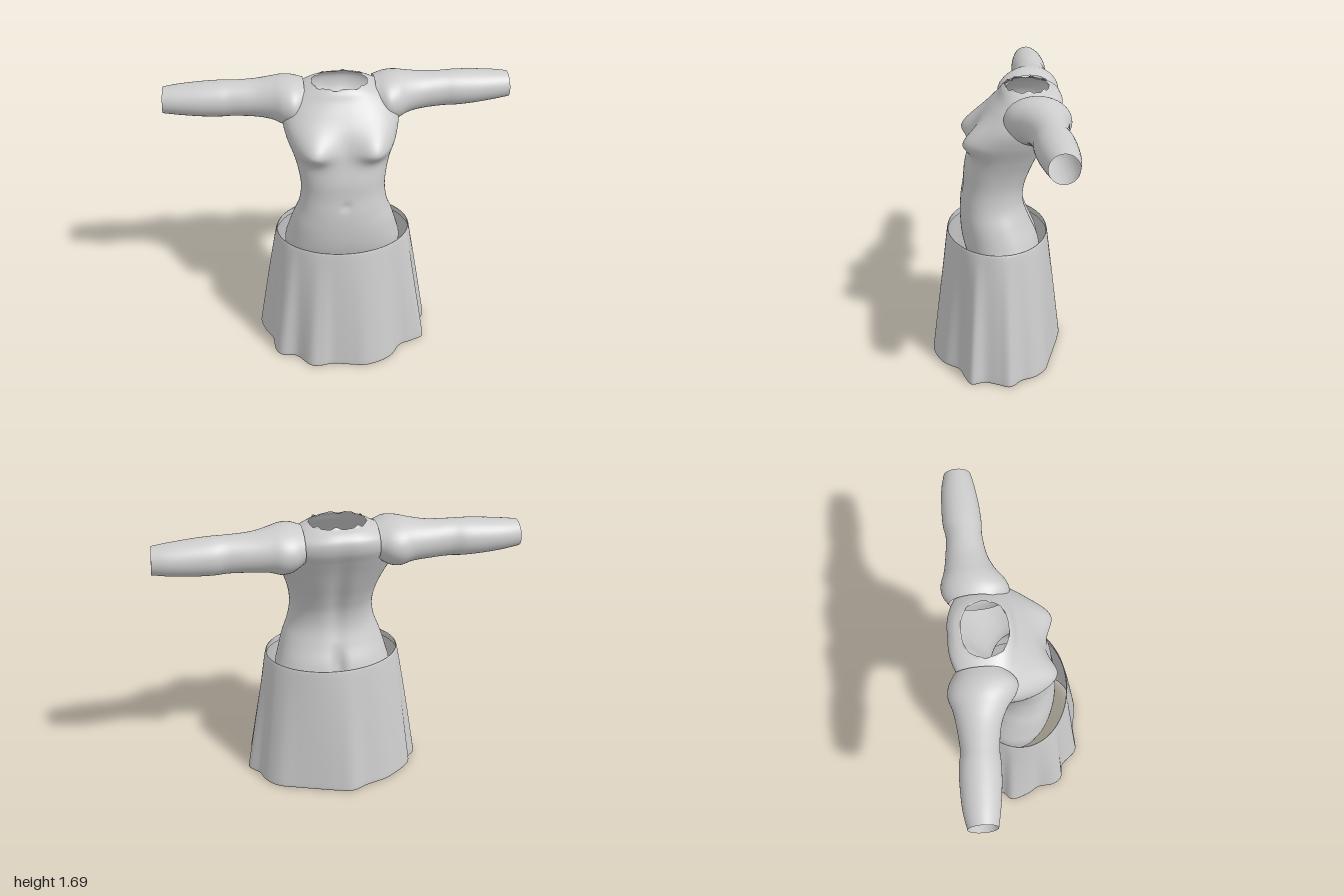
import * as THREE from 'three';

// Closed-ring surface: fn(angle, v) gives a point, rings are welded at the seam
function loft(fn, around, along) {
  const pos = [], idx = [];
  for (let j = 0; j <= along; j++)
    for (let i = 0; i < around; i++) pos.push(...fn((i / around) * Math.PI * 2, j / along));
  for (let j = 0; j < along; j++)
    for (let i = 0; i < around; i++) {
      const n = (i + 1) % around;
      const a = j * around + i, b = j * around + n, c = b + around, d = a + around;
      idx.push(a, b, c, a, c, d);
    }
  const g = new THREE.BufferGeometry();
  g.setAttribute('position', new THREE.Float32BufferAttribute(pos, 3));
  g.setIndex(idx);
  g.computeVertexNormals();
  return g;
}

// Smooth interpolation through rows of numbers
function rowSpline(rows) {
  const curve = (a, b, c) => new THREE.CatmullRomCurve3(
    rows.map(r => new THREE.Vector3(r[a], r[b], r[c])), false, 'catmullrom', 0.5);
  const p = curve(0, 1, 2), q = curve(0, 3, rows[0].length - 1);
  return v => {
    const s = p.getPoint(v), t = q.getPoint(v);
    return [s.x, s.y, s.z, t.y, t.z];
  };
}

const bump = (d, r) => Math.exp(-(d * d) / (r * r));
const rounded = (c, e) => Math.sign(c) * Math.pow(Math.abs(c), e);

// Rows: height, half width, front z, back z
const torsoRows = [
  [0.62, 0.345, 0.17, -0.25], [0.72, 0.345, 0.2, -0.25], [0.8, 0.325, 0.215, -0.23],
  [0.9, 0.295, 0.22, -0.185], [1.0, 0.258, 0.215, -0.155], [1.1, 0.243, 0.2, -0.16],
  [1.2, 0.252, 0.19, -0.195], [1.3, 0.278, 0.165, -0.24], [1.4, 0.315, 0.135, -0.285],
  [1.48, 0.33, 0.1, -0.325], [1.55, 0.315, 0.05, -0.36], [1.61, 0.27, 0.0, -0.365],
  [1.65, 0.2, -0.025, -0.335], [1.67, 0.155, -0.045, -0.29],
];

function torsoGeometry() {
  const at = rowSpline(torsoRows);
  return loft((a, v) => {
    let [y, w, front, back] = at(v);
    const x = w * rounded(Math.sin(a), 0.88), c = Math.cos(a);
    let z = (front + back) / 2 + ((front - back) / 2) * rounded(c, 0.88);
    if (c > 0) {
      // Bust, with a fuller underside, and a shallow navel
      const h = y - 1.385;
      z += 0.085 * bump(Math.abs(x) - 0.18, 0.105) * bump(h, h < 0 ? 0.065 : 0.1) * Math.min(1, c * 2);
      z -= 0.012 * bump(x, 0.022) * bump(y - 1.06, 0.025);
    } else {
      // Spine groove and the cleft below the waist
      const k = Math.min(1, -c * 2);
      z += k * 0.022 * bump(x, 0.05) * bump(y - 1.2, 0.3);
      z += k * 0.045 * bump(x, 0.03) * THREE.MathUtils.smoothstep(0.92 - y, 0, 0.15);
    }
    // Uneven neck edge
    if (v > 0.999) y += 0.007 * Math.sin(a * 9) + 0.004 * Math.sin(a * 17 + 1);
    return [x, y, z];
  }, 96, 110);
}

// Rows: distance from centre, bottom y, top y, front z, back z
const armRows = [
  [0.2, 1.47, 1.665, -0.06, -0.345], [0.26, 1.43, 1.682, -0.02, -0.378],
  [0.32, 1.42, 1.685, -0.035, -0.383], [0.39, 1.44, 1.675, -0.085, -0.362],
  [0.48, 1.45, 1.663, -0.122, -0.348], [0.6, 1.456, 1.66, -0.14, -0.338],
  [0.68, 1.455, 1.66, -0.138, -0.35], [0.78, 1.46, 1.655, -0.143, -0.352],
  [0.9, 1.472, 1.645, -0.158, -0.346], [1.0, 1.486, 1.634, -0.176, -0.328],
];

function armGeometry() {
  const at = rowSpline(armRows);
  return loft((a, v) => {
    const [x, lo, hi, front, back] = at(v);
    // Slightly slanted wrist opening
    const slant = v > 0.9 ? (v - 0.9) * 0.06 * (Math.sin(a) - 1) : 0;
    return [x + slant, (lo + hi) / 2 - ((hi - lo) / 2) * Math.sin(a),
      (front + back) / 2 + ((front - back) / 2) * Math.cos(a)];
  }, 48, 50);
}

// Wavy hem outline, x and z
const hem = [
  [0, 0.39], [0.1, 0.405], [0.2, 0.38], [0.28, 0.33], [0.34, 0.25], [0.42, 0.22], [0.5, 0.18],
  [0.485, 0.1], [0.515, 0.02], [0.54, -0.05], [0.48, -0.12], [0.45, -0.2], [0.38, -0.27],
  [0.27, -0.31], [0.15, -0.35], [0.04, -0.385], [-0.06, -0.405], [-0.16, -0.365],
  [-0.28, -0.33], [-0.38, -0.27], [-0.46, -0.2], [-0.48, -0.14], [-0.53, -0.08], [-0.5, 0.03],
  [-0.46, 0.1], [-0.45, 0.2], [-0.41, 0.26], [-0.32, 0.28], [-0.24, 0.37], [-0.17, 0.382], [-0.1, 0.372],
];

function skirtGeometry() {
  const curve = new THREE.CatmullRomCurve3(
    hem.map(([x, z]) => new THREE.Vector3(x, 0, z)), true, 'catmullrom', 0.5);
  // Profile: turned-in hem, outer wall, rolled waist rim
  const profile = [[0.012, 0.97], [0, 0.98], [0.003, 0.995], [0.015, 1]];
  for (let i = 1; i <= 24; i++) profile.push([0.015 + (0.77 * i) / 24, 1]);
  profile.push([0.798, 0.996], [0.8, 0.988], [0.795, 0.98], [0.76, 0.978]);
  return loft((a, v) => {
    const [y, s] = profile[Math.round(v * (profile.length - 1))];
    const p = curve.getPoint(a / (Math.PI * 2));
    const ang = Math.atan2(p.x / 0.53, p.z / 0.4);
    const k = Math.pow(1 - y / 0.8, 0.92);
    return [s * THREE.MathUtils.lerp(0.398 * Math.sin(ang), p.x, k), y,
      s * THREE.MathUtils.lerp(0.298 * Math.cos(ang), p.z, k)];
  }, 186, profile.length - 1);
}

export function createModel() {
  const group = new THREE.Group();
  group.name = 'dressForm';
  const grey = new THREE.MeshStandardMaterial({ color: 0xcccccc, side: THREE.DoubleSide });
  grey.name = 'lightGrey';

  const add = (name, geometry) => {
    const mesh = new THREE.Mesh(geometry, grey);
    mesh.name = name;
    group.add(mesh);
    return mesh;
  };

  add('torso', torsoGeometry());
  const arm = armGeometry();
  add('leftArm', arm);
  add('rightArm', arm).scale.x = -1;
  add('skirt', skirtGeometry());
  return group;
}
